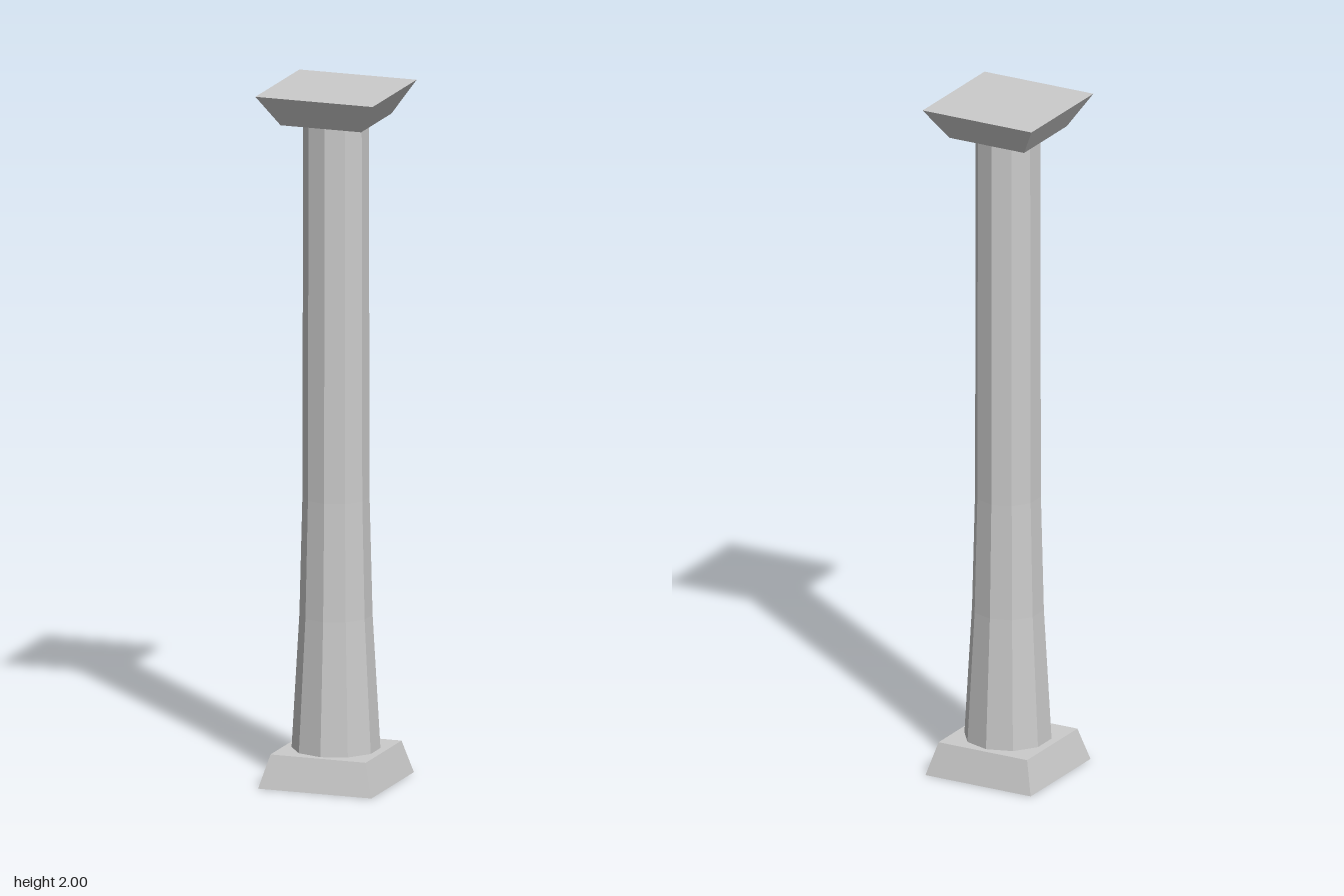
import * as THREE from 'three';

const material = new THREE.MeshStandardMaterial({ color: 0xcccccc, flatShading: true });

// Square block with sloping sides, given half widths at its bottom and top
function taperedBlock(name, bottomHalf, topHalf, y0, y1) {
  const geometry = new THREE.CylinderGeometry(topHalf * Math.SQRT2, bottomHalf * Math.SQRT2, y1 - y0, 4);
  geometry.rotateY(Math.PI / 4);
  geometry.translate(0, (y0 + y1) / 2, 0);
  const mesh = new THREE.Mesh(geometry, material);
  mesh.name = name;
  return mesh;
}

export function createModel() {
  const column = new THREE.Group();
  column.name = 'column';

  // Plinth and capital
  column.add(taperedBlock('base', 0.17, 0.143, 0, 0.095));
  column.add(taperedBlock('capital', 0.121, 0.176, 1.91, 2));

  // Ten-sided shaft, flaring towards the foot, with a corner facing the front
  const profile = [[0.125, 0.095], [0.103, 0.48], [0.0945, 0.82], [0.0925, 1.91]]
    .map(([r, y]) => new THREE.Vector2(r, y));
  const shaft = new THREE.Mesh(new THREE.LatheGeometry(profile, 10), material);
  shaft.name = 'shaft';
  column.add(shaft);

  return column;
}
